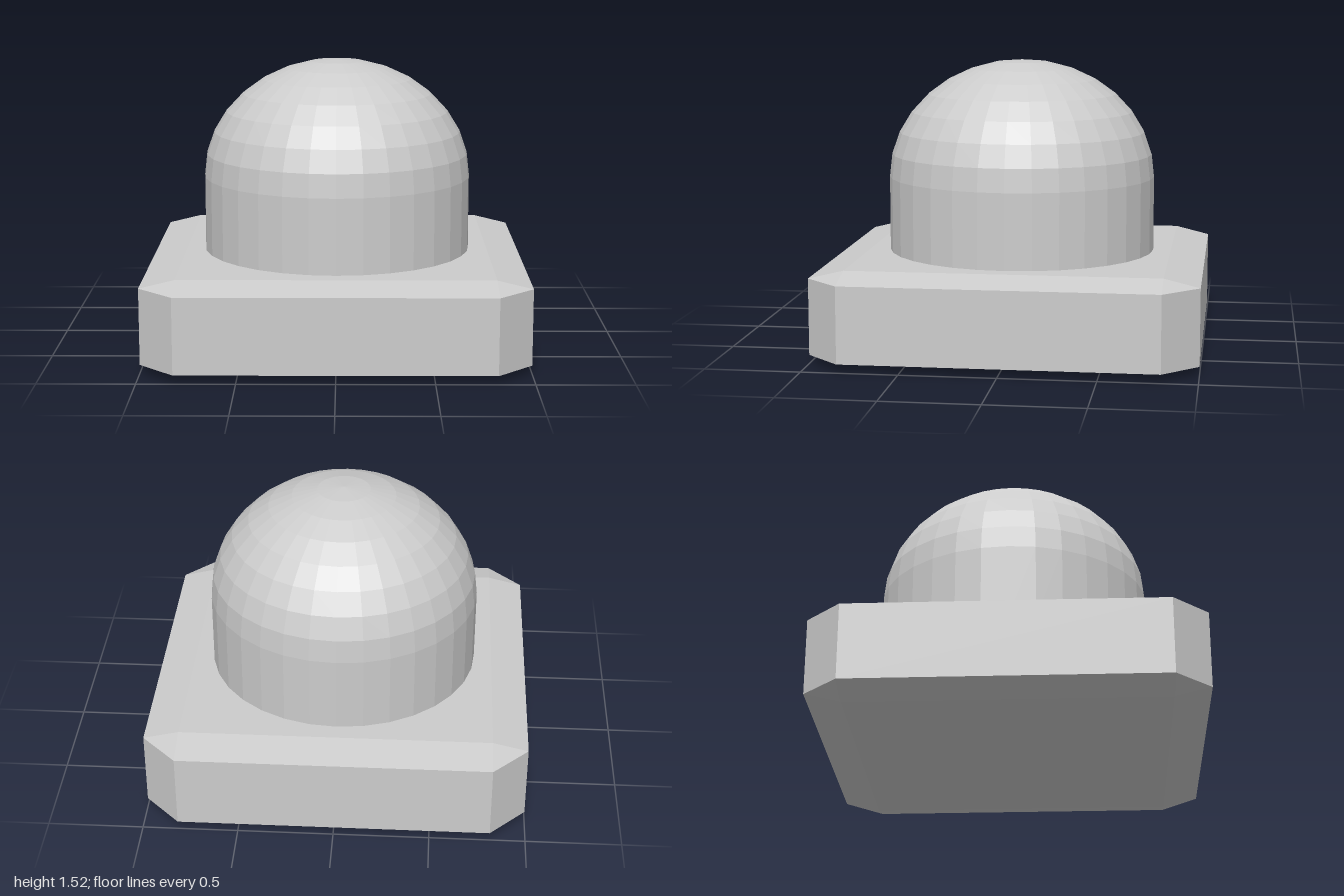
import * as THREE from 'three';
import { ConvexGeometry } from 'three/addons/geometries/ConvexGeometry.js';

const SEGMENTS = 32, RADIUS = 0.72;
const BASE_TOP = 0.49, DOME_START = 0.89, DOME_HEIGHT = 0.63;

export function createModel() {
  const group = new THREE.Group();
  const material = new THREE.MeshStandardMaterial({ color: 0xcccccc, flatShading: true });

  const add = (name, geometry, y = 0) => {
    const mesh = new THREE.Mesh(geometry, material);
    mesh.name = name;
    mesh.position.y = y;
    group.add(mesh);
    return mesh;
  };

  // Square base with every edge and corner chamfered
  const outer = 1, inner = 0.815, bevel = 0.045;
  const corners = [];
  for (const x of [-1, 1]) for (const z of [-1, 1]) {
    for (const y of [0, BASE_TOP])
      corners.push(new THREE.Vector3(x * inner, y, z * inner));
    for (const y of [bevel, BASE_TOP - bevel]) {
      corners.push(new THREE.Vector3(x * outer, y, z * inner));
      corners.push(new THREE.Vector3(x * inner, y, z * outer));
    }
  }
  add('base', new ConvexGeometry(corners));

  // Straight lower wall of the button
  const wallHeight = DOME_START - BASE_TOP;
  add('wall', new THREE.CylinderGeometry(RADIUS, RADIUS, wallHeight, SEGMENTS, 1, true),
    BASE_TOP + wallHeight / 2);

  // Slightly flattened half-sphere cap
  const dome = new THREE.SphereGeometry(RADIUS, SEGMENTS, 8, 0, Math.PI * 2, 0, Math.PI / 2);
  dome.scale(1, DOME_HEIGHT / RADIUS, 1);
  add('dome', dome, DOME_START);

  return group;
}
